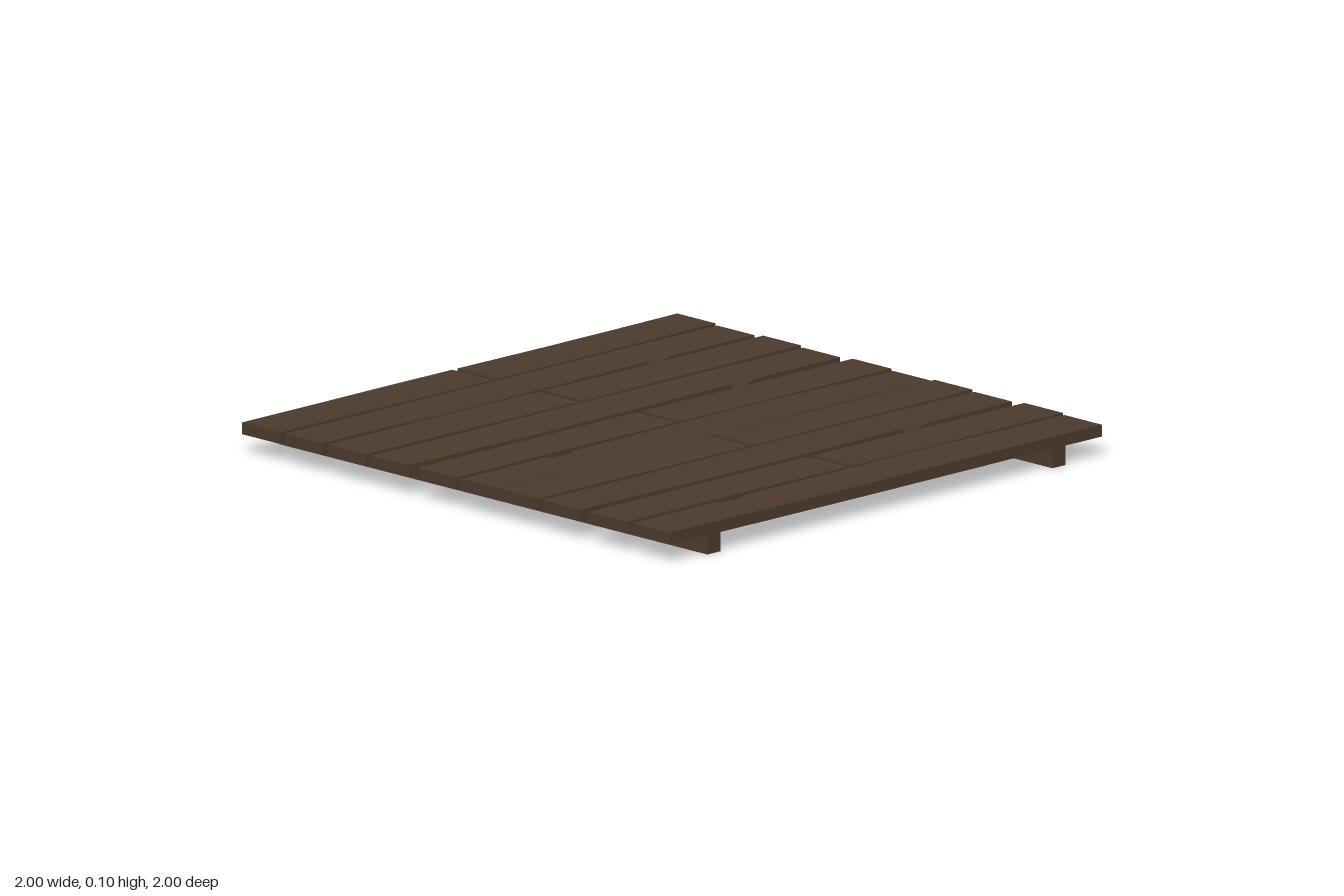
import * as THREE from 'three';

const plankWood = new THREE.MeshStandardMaterial({ color: 0x4b3a2c });
plankWood.name = 'plank wood';
const beamWood = new THREE.MeshStandardMaterial({ color: 0x4d3a2e });
beamWood.name = 'beam wood';

const BOTTOM = 0.065, TOP = 0.105;

// Hewn board from stations along x: [x, back z, front z, depth of chip in the front top edge]
function plankGeometry(stations) {
  const geo = new THREE.BoxGeometry(1, 1, 1, stations.length - 1, 1, 2);
  const p = geo.attributes.position;
  for (let i = 0; i < p.count; i++) {
    const s = stations[Math.round((p.getX(i) + 0.5) * (stations.length - 1))];
    const top = p.getY(i) > 0, depth = p.getZ(i);
    const z = depth < -0.25 ? s[1] : depth > 0.25 ? s[2] : s[2] - 0.018;
    const chip = top && depth > 0.25 ? s[3] || 0 : 0;
    p.setXYZ(i, s[0], (top ? TOP : BOTTOM) - chip, z);
  }
  const flat = geo.toNonIndexed();
  flat.computeVertexNormals();
  return flat;
}

export function createModel() {
  const model = new THREE.Group();
  model.name = 'woodenPlatform';

  // Board shapes, z measured from the middle of the row
  const long = plankGeometry([
    [-0.992, -0.093, 0.082], [-0.6, -0.09, 0.087], [-0.45, -0.092, 0.093], [0.1, -0.095, 0.088],
    [0.48, -0.095, 0.083, 0], [0.51, -0.095, 0.083, 0.022], [0.6, -0.094, 0.084, 0], [0.992, -0.091, 0.082],
  ]);
  const shortLeft = plankGeometry([
    [-1, -0.094, 0.085], [-0.6, -0.094, 0.087], [-0.3, -0.096, 0.09], [-0.033, -0.094, 0.091],
  ]);
  const shortRight = plankGeometry([
    [-0.01, -0.094, 0.092], [0.4, -0.09, 0.088], [0.7, -0.091, 0.087], [1, -0.094, 0.083],
  ]);

  // Ten rows alternating split and full boards; some rows are turned end for end
  const turned = [4, 5, 8, 9];
  for (let row = 0; row < 10; row++) {
    const group = new THREE.Group();
    group.name = `plankRow${row + 1}`;
    const shapes = row % 2 ? [['longPlank', long]] : [['shortPlankA', shortLeft], ['shortPlankB', shortRight]];
    for (const [name, geo] of shapes) {
      const mesh = new THREE.Mesh(geo, plankWood);
      mesh.name = name;
      group.add(mesh);
    }
    const flip = turned.includes(row);
    group.position.set(row % 2 ? -0.008 : 0, 0, -0.906 + row * 0.2 + (flip ? 0.01 : 0));
    if (flip) group.rotation.y = Math.PI;
    model.add(group);
  }

  // Two support beams running front to back
  for (const [name, x] of [['rightBeam', -0.8], ['leftBeam', 0.785]]) {
    const beam = new THREE.Mesh(new THREE.BoxGeometry(0.06, BOTTOM, 1.996), beamWood);
    beam.name = name;
    beam.position.set(x, BOTTOM / 2, 0);
    model.add(beam);
  }
  return model;
}
